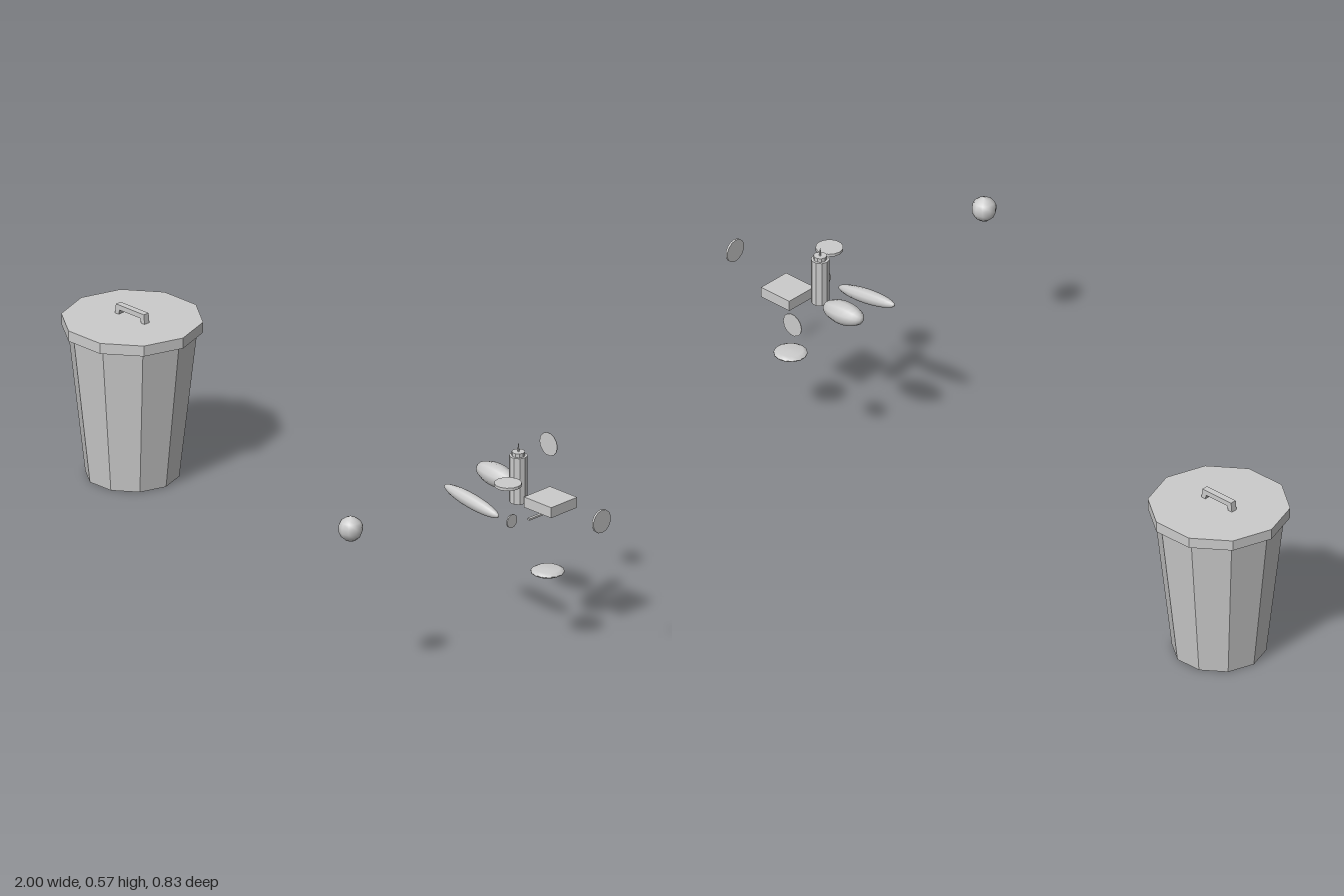
import * as THREE from 'three';

const flat = new THREE.MeshStandardMaterial({ color: 0xcccccc, flatShading: true, side: THREE.DoubleSide });
const smooth = new THREE.MeshStandardMaterial({ color: 0xcccccc, side: THREE.DoubleSide });

function add(parent, name, geometry, position, material = flat, rotation = [0, 0, 0]) {
  const mesh = new THREE.Mesh(geometry, material);
  mesh.name = name;
  mesh.position.set(...position);
  mesh.rotation.set(...rotation);
  parent.add(mesh);
  return mesh;
}

// Faceted cylinder with a corner on the x axis
const drum = (top, bottom, height, sides = 10) =>
  new THREE.CylinderGeometry(top, bottom, height, sides, 1, false, Math.PI / 2);

// Stretched low-sided ball lying along x
function oval(length, height, depth) {
  const g = new THREE.SphereGeometry(1, 10, 12);
  g.rotateZ(Math.PI / 2);
  g.scale(length, height, depth);
  return g;
}

// Surface of revolution from [radius, y] pairs
const turned = (points, sides) =>
  new THREE.LatheGeometry(points.map(([r, y]) => new THREE.Vector2(r, y)), sides);

function createTrashCan() {
  const can = new THREE.Group();
  can.name = 'trashCan';
  can.position.set(-0.81, 0, -0.235);
  add(can, 'canBody', drum(0.174, 0.126, 0.42), [0, 0.21, 0]);
  add(can, 'canLid', drum(0.19, 0.19, 0.03), [0, 0.435, 0]);

  // Bracket handle with slanted ends
  const outline = new THREE.Shape([
    [-0.055, 0], [-0.052, 0.028], [0.052, 0.028], [0.055, 0],
    [0.042, 0], [0.038, 0.014], [-0.038, 0.014], [-0.042, 0],
  ].map(([x, y]) => new THREE.Vector2(x, y)));
  const handle = new THREE.ExtrudeGeometry(outline, { depth: 0.018, bevelEnabled: false });
  add(can, 'lidHandle', handle, [0, 0.449, -0.009]);
  return can;
}

function createScraps() {
  const scraps = new THREE.Group();
  scraps.name = 'scraps';

  // Round fruit with a pointed top
  add(scraps, 'fruit', turned([
    [0, -0.034], [0.016, -0.032], [0.027, -0.022], [0.033, -0.008], [0.033, 0.008],
    [0.027, 0.02], [0.016, 0.028], [0.007, 0.032], [0, 0.036],
  ], 10), [0.615, 0.474, 0.384], smooth);

  // Bottle with cap and thin tip
  const bottle = new THREE.Group();
  bottle.name = 'bottle';
  bottle.position.set(0.694, 0, -0.168);
  add(bottle, 'bottleBody', drum(0.025, 0.025, 0.133), [0, 0.4705, 0]);
  add(bottle, 'bottleCap', drum(0.018, 0.018, 0.011), [0, 0.5425, 0]);
  add(bottle, 'bottleTip', drum(0.001, 0.003, 0.022, 6), [0, 0.559, 0]);
  scraps.add(bottle);

  // Box and the thin stick below it
  add(scraps, 'box', new THREE.BoxGeometry(0.102, 0.03, 0.098), [0.777, 0.415, -0.205]);
  add(scraps, 'stick', new THREE.BoxGeometry(0.008, 0.005, 0.075), [0.767, 0.385, -0.17]);

  // Long and short rounded scraps
  add(scraps, 'ovalScrap', oval(0.068, 0.031, 0.034), [0.578, 0.434, -0.202], smooth, [0, 0, -0.08]);
  add(scraps, 'longScrap', oval(0.102, 0.02, 0.0195), [0.615, 0.41, -0.072], smooth, [0, 0, -0.14]);

  // Thin round slices facing different ways
  const slices = [
    ['flatSlice', 0.037, 0.008, [0.751, 0.501, -0.071], [0, 0, 0]],
    ['sideSlice', 0.033, 0.006, [0.996, 0.437, -0.175], [0, 0, Math.PI / 2]],
    ['backSlice', 0.033, 0.002, [0.595, 0.472, -0.382], [Math.PI / 2, 0, 0]],
    ['smallSlice', 0.019, 0.004, [0.764, 0.398, -0.072], [0, 0, Math.PI / 2]],
  ];
  for (const [name, r, thickness, position, rotation] of slices)
    add(scraps, name, drum(r, r, thickness, 14), position, flat, rotation);

  // Bevelled disc hanging lowest
  add(scraps, 'lowDisc', turned([
    [0, -0.009], [0.034, -0.008], [0.045, -0.002], [0.045, 0.002], [0.034, 0.008], [0, 0.009],
  ], 14), [0.777, 0.22, -0.194], smooth);
  return scraps;
}

export function createModel() {
  const model = new THREE.Group();
  model.name = 'trashCanAndScraps';
  model.add(createTrashCan(), createScraps());
  return model;
}
